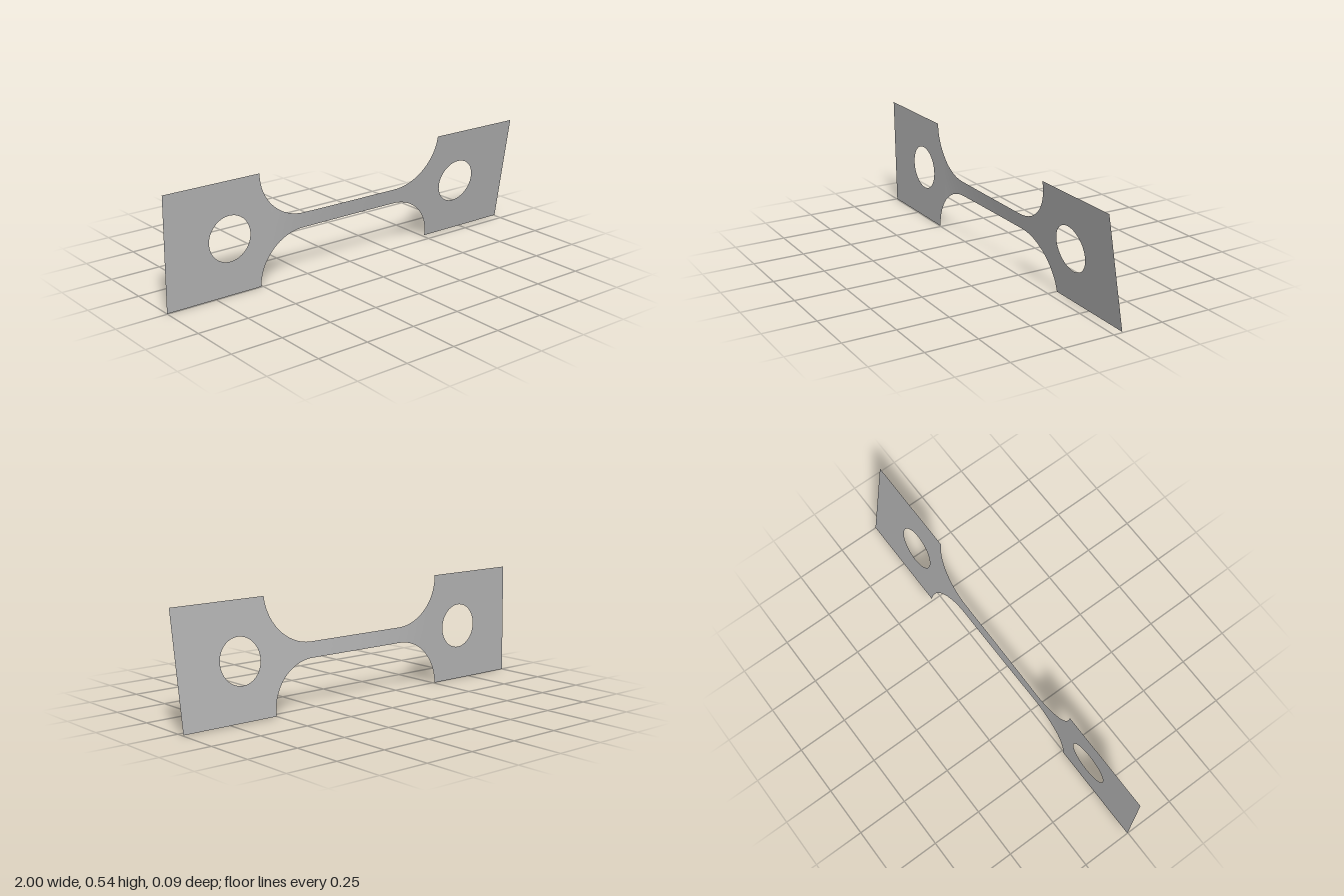
import * as THREE from 'three';
import { mergeVertices } from 'three/addons/utils/BufferGeometryUtils.js';

const HALF = 0.27, NECK = 0.0375;          // half heights of tabs and neck
const FILLET_X = 0.27, RX = 0.238;         // fillet centre and width
const HOLE_X = 0.67, HOLE_R = 0.108;

// Twist about the long axis: nearly upright on the left, tilted on the right
function twist(x) {
  const t = THREE.MathUtils.clamp((x + 0.45) / 0.7, 0, 1);
  return THREE.MathUtils.degToRad(0.7 + 8.4 * (1 - (1 - t) ** 2));
}

// Cross-sections [x, inner half height, outer half height] from centre to one end
function halfSections() {
  const list = [];
  for (let i = 0; i < 10; i++) list.push([FILLET_X * i / 10, 0, NECK]);
  for (let i = 0; i <= 24; i++) {
    const a = Math.PI / 2 * i / 24;
    list.push([FILLET_X + RX * Math.sin(a), 0, HALF - (HALF - NECK) * Math.cos(a)]);
  }
  for (let i = 0; i <= 32; i++) {
    const a = Math.PI * i / 32;
    list.push([HOLE_X - HOLE_R * Math.cos(a), HOLE_R * Math.sin(a), HALF]);
  }
  for (let i = 1; i <= 4; i++) {
    list.push([HOLE_X + HOLE_R + (1 - HOLE_X - HOLE_R) * i / 4, 0, HALF]);
  }
  return list;
}

function sheetGeometry() {
  const right = halfSections();
  const left = right.slice(1).reverse().map(([x, a, b]) => [-x, a, b]);
  const sections = [...left, ...right];
  const rows = 4, positions = [], index = [];
  // Upper and lower strips meet on the axis, except around the holes
  for (const side of [1, -1]) {
    const base = positions.length / 3;
    sections.forEach(([x, inner, outer], c) => {
      const a = twist(x);
      for (let r = 0; r <= rows; r++) {
        const v = side * THREE.MathUtils.lerp(inner, outer, r / rows);
        positions.push(x, HALF + v * Math.cos(a), v * Math.sin(a));
        if (c === 0 || r === 0) continue;
        const d = base + c * (rows + 1) + r;
        const p = d - rows - 2, q = d - 1, s = d - rows - 1;
        if (side > 0) index.push(p, q, d, p, d, s);
        else index.push(p, d, q, p, s, d);
      }
    });
  }
  let geometry = new THREE.BufferGeometry();
  geometry.setAttribute('position', new THREE.Float32BufferAttribute(positions, 3));
  geometry.setIndex(index);
  geometry = mergeVertices(geometry, 1e-5);
  geometry.computeVertexNormals();
  return geometry;
}

export function createModel() {
  const group = new THREE.Group();
  group.name = 'twistedTestStrip';
  const steel = new THREE.MeshStandardMaterial({ color: 0xb0b0b0, side: THREE.DoubleSide });
  steel.name = 'plain grey';
  const sheet = new THREE.Mesh(sheetGeometry(), steel);
  sheet.name = 'twistedSheet';
  group.add(sheet);
  return group;
}
